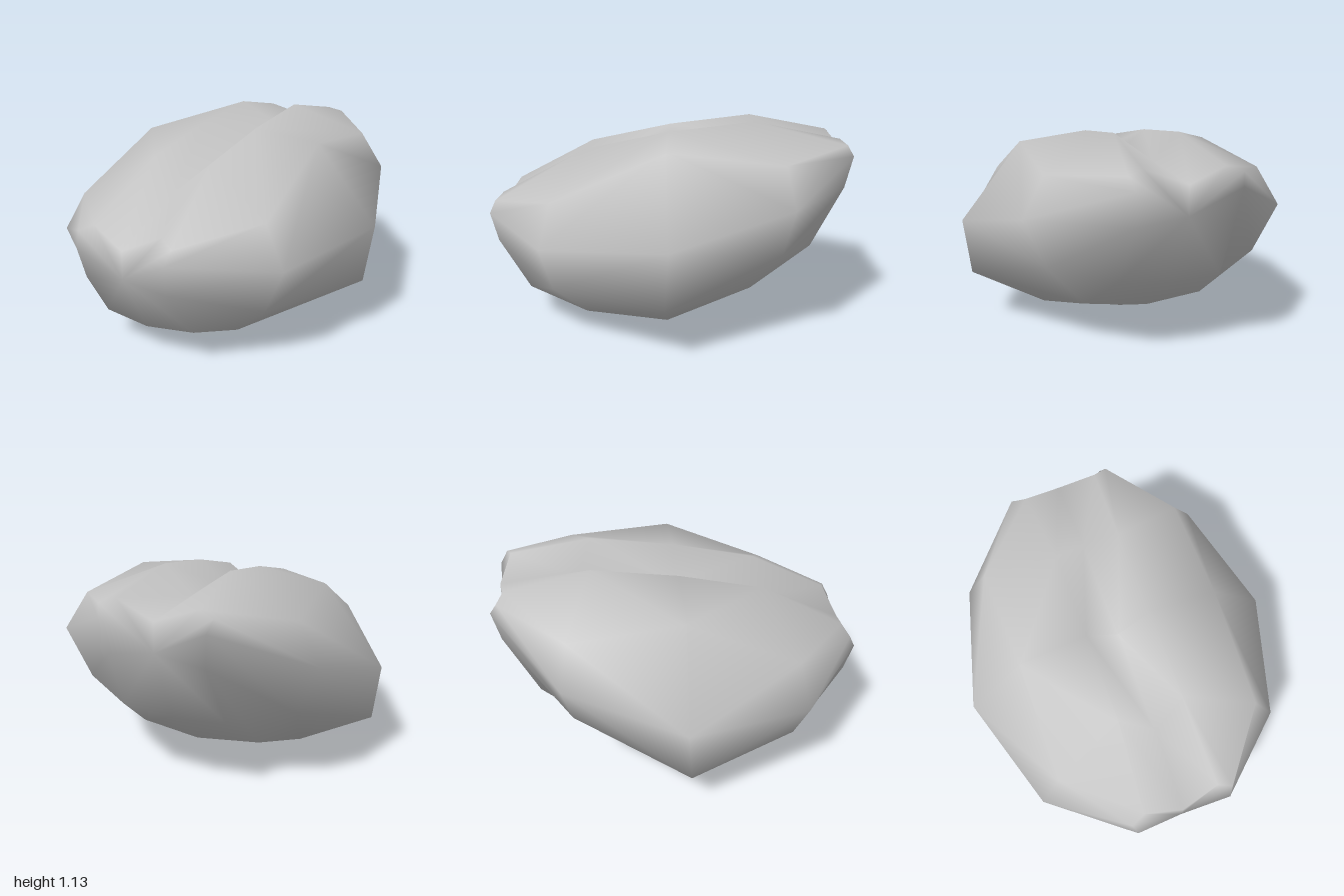
import * as THREE from 'three';

// Half cross-sections: [along, across, height], from the groove floor over
// the lip, shoulder, rim and belly to the keel.
const MIDDLE = [[0, 0, 0.37], [0, 0.18, 0.515], [0, 0.56, 0.46], [0.02, 0.9, 0.03], [0, 0.86, -0.28], [0, 0.45, -0.5], [0.08, 0, -0.56]];
const QUARTER = [[0.55, 0, 0.35], [0.47, 0.18, 0.495], [0.6, 0.58, 0.3], [0.64, 0.7, 0.09], [0.6, 0.58, -0.17], [0.46, 0.34, -0.42], [0.5, 0, -0.45]];
const END = [[0.975, 0, 0.25], [0.93, 0.21, 0.33], [0.96, 0.29, 0.3], [1.0, 0.27, 0.23], [0.965, 0.25, 0.06], [0.79, 0.28, -0.24], [0.81, 0, -0.26]];

// Turn a bean coordinate into the tilted, turned resting pose
function place(along, across, height) {
  return [
    0.51 * along + 0.86 * across,
    0.555 + height + 0.168 * along + 0.04 * across,
    -0.86 * along + 0.51 * across,
  ];
}

// Full closed ring, mirrored across the groove
function ring(half, direction) {
  const left = half.slice(1, -1).reverse().map(([a, w, h]) => [a, -w, h]);
  return [...half, ...left].map(([a, w, h]) => place(a * direction, w, h));
}

function beanGeometry() {
  const rings = [ring(END, -1), ring(QUARTER, -1), ring(MIDDLE, 1), ring(QUARTER, 1), ring(END, 1)];
  const n = rings[0].length;
  const points = rings.flat();
  const index = [];
  for (let i = 0; i < rings.length - 1; i++) {
    for (let j = 0; j < n; j++) {
      const k = (j + 1) % n;
      const a = i * n + j, b = i * n + k, c = a + n, d = b + n;
      // Mirrored diagonals on the two halves
      if (i < 2) index.push(a, b, c, b, d, c);
      else index.push(a, b, d, a, d, c);
    }
  }
  // Blunt end caps
  const front = points.push(place(-0.98, 0, 0.1)) - 1;
  const back = points.push(place(0.98, 0, 0.1)) - 1;
  const last = (rings.length - 1) * n;
  for (let j = 0; j < n; j++) {
    const k = (j + 1) % n;
    index.push(front, k, j, back, last + j, last + k);
  }
  const geometry = new THREE.BufferGeometry();
  geometry.setAttribute('position', new THREE.Float32BufferAttribute(points.flat(), 3));
  geometry.setIndex(index);
  geometry.computeVertexNormals();
  // Rest on the ground, centred
  geometry.computeBoundingBox();
  const { min, max } = geometry.boundingBox;
  geometry.translate(-(min.x + max.x) / 2, -min.y, -(min.z + max.z) / 2);
  return geometry;
}

export function createModel() {
  const group = new THREE.Group();
  group.name = 'groovedBean';
  const grey = new THREE.MeshStandardMaterial({ color: 0xc2c2c2 });
  grey.name = 'grey';
  const bean = new THREE.Mesh(beanGeometry(), grey);
  bean.name = 'bean';
  group.add(bean);
  return group;
}
